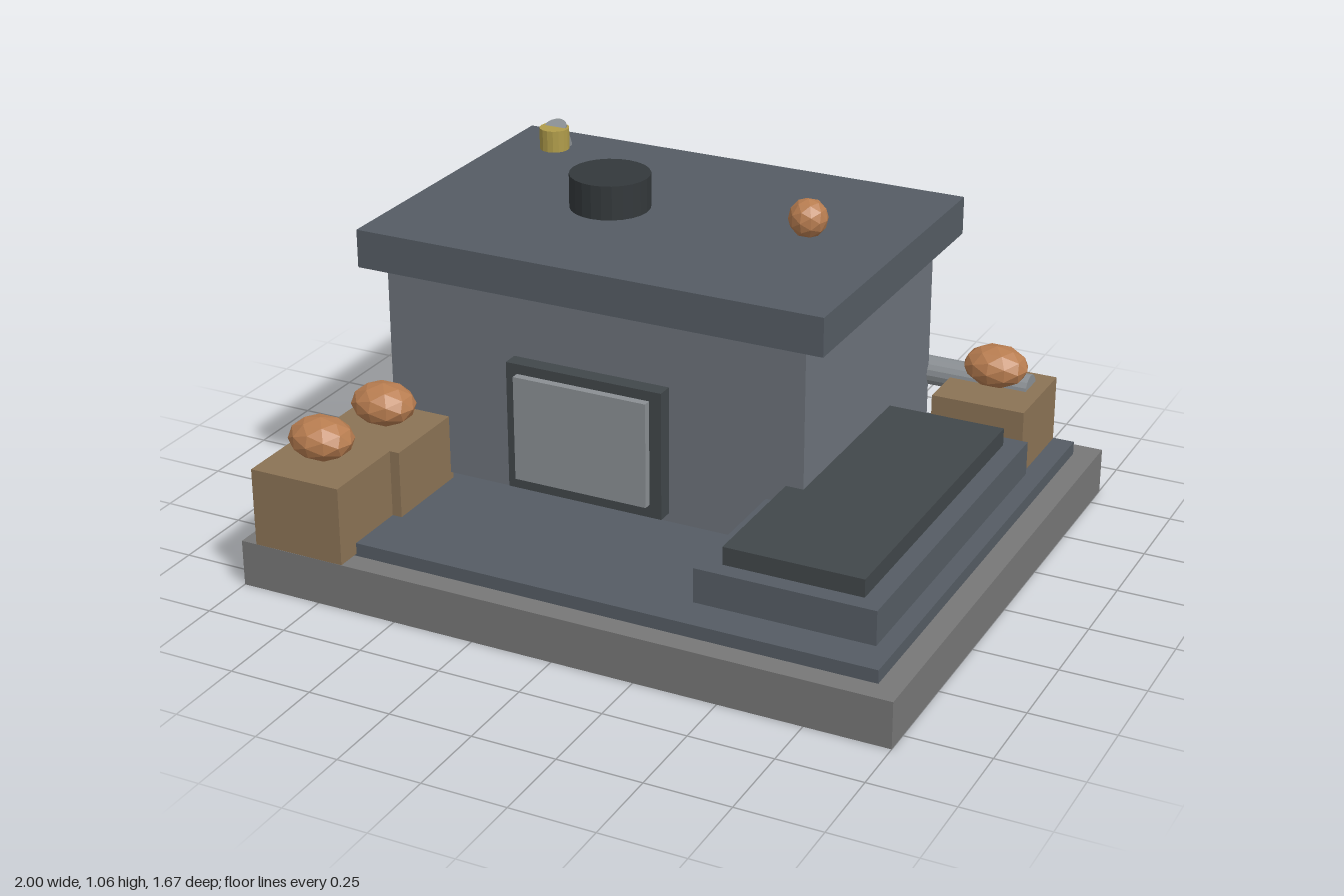
import * as THREE from 'three';

const mat = (color) => new THREE.MeshStandardMaterial({ color, flatShading: true });

export function createModel() {
  const group = new THREE.Group();
  const M = {
    stone: mat(0x777777), slate: mat(0x555c64), wall: mat(0x6c727a), dark: mat(0x41474a),
    soot: mat(0x33383b), metal: mat(0x8a8f93), wood: mat(0x8b7355), copper: mat(0xb87d50), brass: mat(0xb09c4a),
  };

  const add = (name, geometry, material, x, y, z) => {
    const mesh = new THREE.Mesh(geometry, material);
    mesh.name = name;
    mesh.position.set(x, y, z);
    group.add(mesh);
    return mesh;
  };
  // Box given by its limits on each axis
  const box = (name, m, x0, x1, y0, y1, z0, z1) =>
    add(name, new THREE.BoxGeometry(x1 - x0, y1 - y0, z1 - z0), m,
      (x0 + x1) / 2, (y0 + y1) / 2, (z0 + z1) / 2);
  const rock = (name, x, y, z, rx, ry, rz) =>
    add(name, new THREE.IcosahedronGeometry(1, 1), M.copper, x, y, z).scale.set(rx, ry, rz);

  // Ground slabs
  box('base', M.stone, -1, 1, 0, 0.14, -0.835, 0.825);
  box('floor', M.slate, -0.935, 0.93, 0.14, 0.18, -0.77, 0.757);

  // Main block with overhanging roof
  box('body', M.wall, -0.815, 0.503, 0.203, 0.825, -0.635, 0.287);
  box('roof', M.slate, -0.885, 0.573, 0.822, 0.937, -0.69, 0.333);

  // Front opening
  box('doorFrame', M.dark, -0.402, 0.09, 0.23, 0.62, 0.28, 0.336);
  box('doorPanel', M.metal, -0.367, 0.053, 0.27, 0.59, 0.3, 0.36);

  // Side platform
  box('platform', M.slate, 0.39, 0.915, 0.24, 0.342, -0.38, 0.742);
  box('platformTop', M.dark, 0.45, 0.858, 0.342, 0.395, -0.33, 0.69);

  // Crates, each with a rock on top
  box('frontCrate', M.wood, -0.943, -0.658, 0.147, 0.383, 0.558, 0.835);
  box('middleCrate', M.wood, -0.913, -0.628, 0.18, 0.383, 0.275, 0.563);
  box('rearCrate', M.wood, 0.577, 0.865, 0.178, 0.383, -0.765, -0.478);
  [['frontRock', -0.8, 0.69], ['middleRock', -0.767, 0.415], ['rearRock', 0.722, -0.622]]
    .forEach(([name, x, z]) => rock(name, x, 0.45, z, 0.099, 0.063, 0.083));
  rock('roofBall', 0.305, 1.006, -0.162, 0.058, 0.058, 0.058);

  // Chimney and brass cap on the roof
  add('chimney', new THREE.CylinderGeometry(0.12, 0.12, 0.115, 24), M.soot, -0.325, 0.983, -0.16);
  add('brassCap', new THREE.CylinderGeometry(0.046, 0.046, 0.075, 16), M.brass, -0.718, 0.967, -0.536);

  // Slanted pipe through the roof, ending in a flared outlet behind
  const top = new THREE.Vector3(-0.718, 1.005, -0.541);
  const end = new THREE.Vector3(-0.718, 0.6, -0.728);
  const pipe = add('slantedPipe', new THREE.CylinderGeometry(0.036, 0.036, top.distanceTo(end), 16), M.metal, 0, 0, 0);
  pipe.position.copy(top).add(end).multiplyScalar(0.5);
  pipe.quaternion.setFromUnitVectors(new THREE.Vector3(0, 1, 0), top.clone().sub(end).normalize());
  add('flaredOutlet', new THREE.CylinderGeometry(0.025, 0.083, 0.31, 16), M.metal, -0.718, 0.465, -0.744);

  // Long pipe along the back wall
  add('backPipe', new THREE.CylinderGeometry(0.044, 0.044, 1.26, 16), M.metal, 0.188, 0.376, -0.665)
    .rotation.z = Math.PI / 2;

  return group;
}
